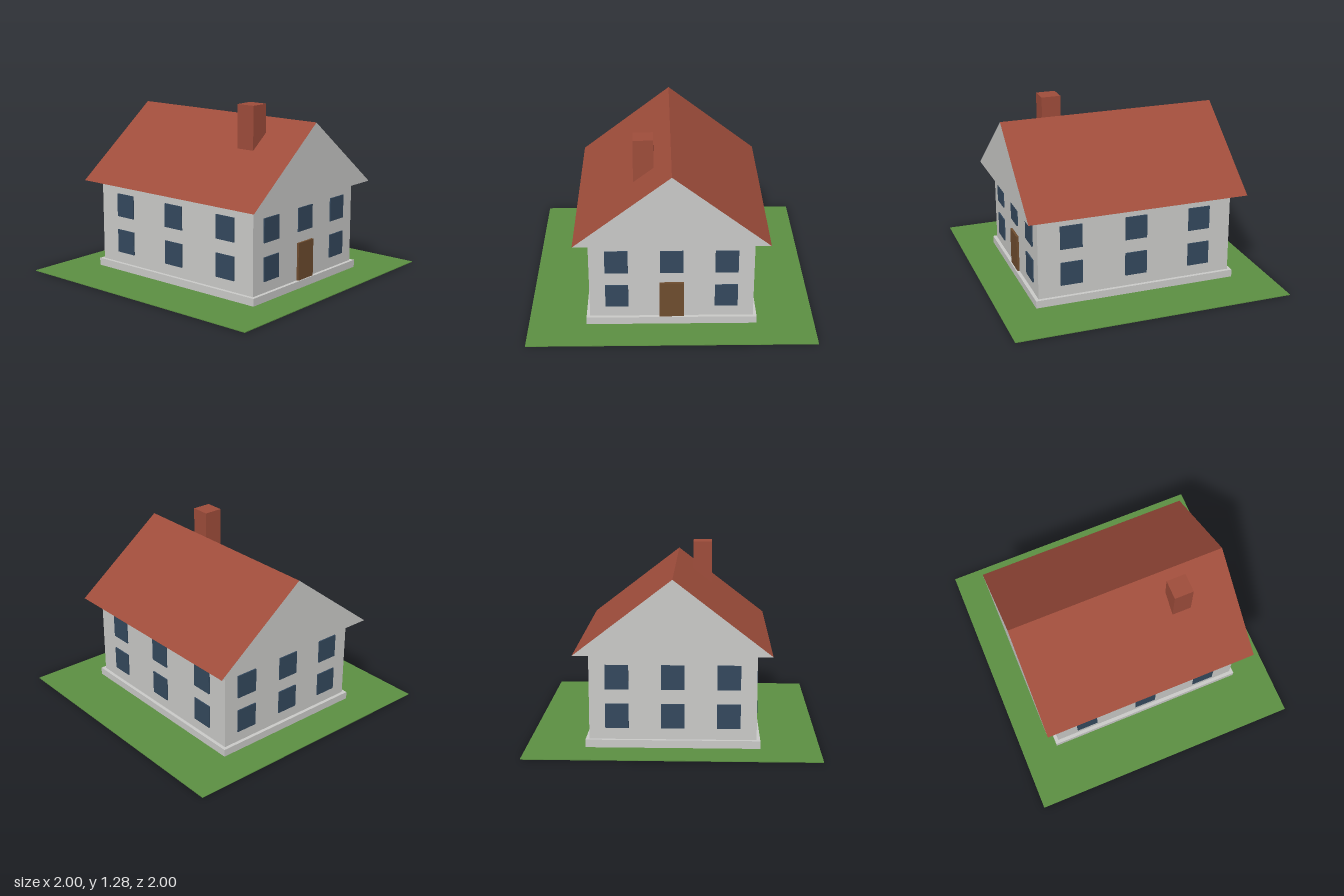
import * as THREE from 'three';

const paint = (name, color, extra = {}) => {
  const m = new THREE.MeshStandardMaterial({ color, ...extra });
  m.name = name;
  return m;
};

export function createModel() {
  const grass = paint('grass green', 0x5c9042);
  const wall = paint('wall grey', 0xcbcbc9, { side: THREE.DoubleSide });
  const brick = paint('roof red', 0x9f4d3b, { side: THREE.DoubleSide });
  const glass = paint('window blue', 0x34495e);
  const wood = paint('door brown', 0x6f4d2f);

  const house = new THREE.Group();
  house.name = 'house';

  const add = (name, geometry, material, parent = house) => {
    const mesh = new THREE.Mesh(geometry, material);
    mesh.name = name;
    parent.add(mesh);
    return mesh;
  };
  // Box given by its centre in x and z and its bottom and top heights
  const box = (name, mat, w, d, y0, y1, x = 0, z = 0, parent = house) =>
    add(name, new THREE.BoxGeometry(w, y1 - y0, d), mat, parent)
      .position.set(x, (y0 + y1) / 2, z);

  // Ground, plinth and walls
  box('lawn', grass, 2, 2, 0.001, 0.006);
  box('plinth', wall, 1.19, 1.48, 0, 0.06);
  box('walls', wall, 1.14, 1.43, 0.06, 0.66);

  // Hollow gable roof: two open slopes and two triangular ends
  const halfW = 0.67, halfD = 0.8, eave = 0.66, ridge = 1.175;
  const rise = ridge - eave;
  const gableShape = new THREE.Shape([
    new THREE.Vector2(-halfW, eave),
    new THREE.Vector2(halfW, eave),
    new THREE.Vector2(0, ridge),
  ]);
  for (const side of [1, -1]) {
    const slope = new THREE.PlaneGeometry(2 * halfD, Math.hypot(halfW, rise));
    slope.rotateX(-Math.atan2(halfW, rise)).rotateY(side * Math.PI / 2);
    add(side > 0 ? 'leftRoofSlope' : 'rightRoofSlope', slope, brick)
      .position.set(side * halfW / 2, (eave + ridge) / 2, 0);

    const gable = add(side > 0 ? 'frontGable' : 'backGable',
      new THREE.ShapeGeometry(gableShape), wall);
    gable.position.z = side * halfD;
    if (side < 0) gable.rotation.y = Math.PI;
  }
  box('chimney', brick, 0.14, 0.14, 0.9, 1.285, -0.19, 0.39);

  // Windows: each facade is a group facing its own +z
  const facades = [
    { name: 'frontWindows', turn: 0, out: 0.715, step: 0.38, door: true },
    { name: 'leftWindows', turn: 1, out: 0.57, step: 0.475 },
    { name: 'backWindows', turn: 2, out: 0.715, step: 0.38 },
    { name: 'rightWindows', turn: 3, out: 0.57, step: 0.475 },
  ];
  for (const { name, turn, out, step, door } of facades) {
    const facade = new THREE.Group();
    facade.name = name;
    facade.rotation.y = turn * Math.PI / 2;
    house.add(facade);
    for (const bottom of [0.14, 0.41]) {
      for (const column of [-1, 0, 1]) {
        if (door && column === 0 && bottom < 0.2) continue;
        box('window', glass, 0.16, 0.009, bottom, bottom + 0.17,
          column * step, out + 0.0045, facade);
      }
    }
  }

  // Front door
  box('door', wood, 0.17, 0.016, 0.06, 0.33, 0, 0.723);

  return house;
}
